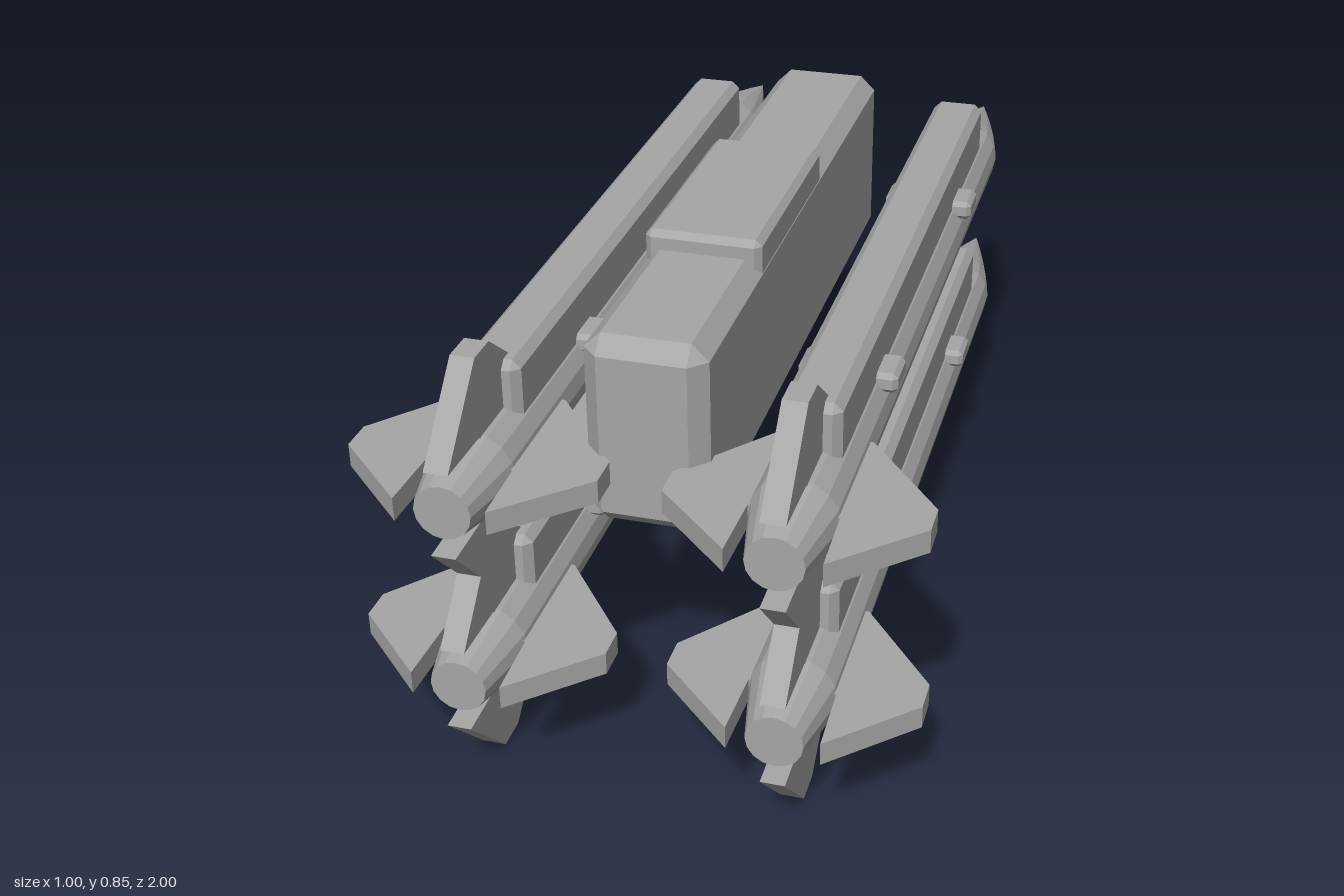
import * as THREE from 'three';
import { ConvexGeometry } from 'three/addons/geometries/ConvexGeometry.js';

const grey = new THREE.MeshStandardMaterial({ color: 0xa6a6a6 });
grey.name = 'plain grey';

function part(name, geometry) {
  const mesh = new THREE.Mesh(geometry, grey);
  mesh.name = name;
  return mesh;
}

// Box with every edge cut by a flat chamfer c
function chamferBox(x0, x1, y0, y1, z0, z1, c) {
  const half = [(x1 - x0) / 2, (y1 - y0) / 2, (z1 - z0) / 2];
  const points = [];
  for (const sx of [-1, 1]) for (const sy of [-1, 1]) for (const sz of [-1, 1]) {
    for (let axis = 0; axis < 3; axis++) {
      const h = half.map((v, i) => (i === axis ? v : v - c));
      points.push(new THREE.Vector3(sx * h[0], sy * h[1], sz * h[2]));
    }
  }
  return new ConvexGeometry(points).translate((x0 + x1) / 2, (y0 + y1) / 2, (z0 + z1) / 2);
}

// Faceted body of revolution, tail at +z and nose at -z
function bodyGeometry() {
  const profile = [[0, -0.99], [0.05, -0.99], [0.078, -0.86], [0.078, 0.69],
    [0.066, 0.755], [0.045, 0.84], [0.022, 0.925], [0, 1]];
  const lathe = new THREE.LatheGeometry(profile.map(([r, y]) => new THREE.Vector2(r, y)), 16);
  const flat = lathe.rotateX(-Math.PI / 2).toNonIndexed();
  flat.computeVertexNormals();
  return flat;
}

// Swept fin pointing to +x, 0.043 thick
function finGeometry() {
  const shape = new THREE.Shape();
  [[0.06, 0.63], [0.08, 0.63], [0.222, 0.805], [0.222, 0.865], [0.08, 1], [0.076, 0.87], [0.06, 0.86]]
    .forEach(([x, z], i) => (i ? shape.lineTo(x, z) : shape.moveTo(x, z)));
  return new THREE.ExtrudeGeometry(shape, { depth: 0.043, bevelEnabled: false })
    .translate(0, 0, -0.0215).rotateX(Math.PI / 2);
}

function createRocket(geo) {
  const rocket = new THREE.Group();
  rocket.name = 'rocket';
  rocket.add(part('rocketBody', geo.body), part('mountingRail', geo.rail));
  for (const lug of geo.lugs) rocket.add(part('railLug', lug));
  for (let i = 0; i < 4; i++) {
    const fin = part('tailFin', geo.fin);
    fin.rotation.z = (i * Math.PI) / 2;
    rocket.add(fin);
  }
  return rocket;
}

export function createModel() {
  const model = new THREE.Group();
  model.name = 'rocketRack';

  // Central pylon with its raised block
  const pylon = new THREE.Group();
  pylon.name = 'centralPylon';
  pylon.add(part('pylonBody', chamferBox(-0.108, 0.108, 0.455, 0.815, -0.53, 0.79, 0.03)));
  pylon.add(part('pylonTopBlock', chamferBox(-0.107, 0.107, 0.77, 0.85, -0.01, 0.44, 0.012)));
  model.add(pylon);

  // Four rockets, two on each side
  const geo = {
    body: bodyGeometry(),
    rail: chamferBox(-0.052, 0.052, 0.04, 0.16, -0.615, 0.765, 0.015),
    lugs: [-0.3, 0.45].map((z) => chamferBox(-0.09, 0.09, 0.037, 0.075, z - 0.042, z + 0.042, 0.009)),
    fin: finGeometry(),
  };
  for (const x of [-0.277, 0.277]) for (const y of [0.224, 0.575]) {
    const rocket = createRocket(geo);
    rocket.position.set(x, y, 0);
    model.add(rocket);
  }
  return model;
}
